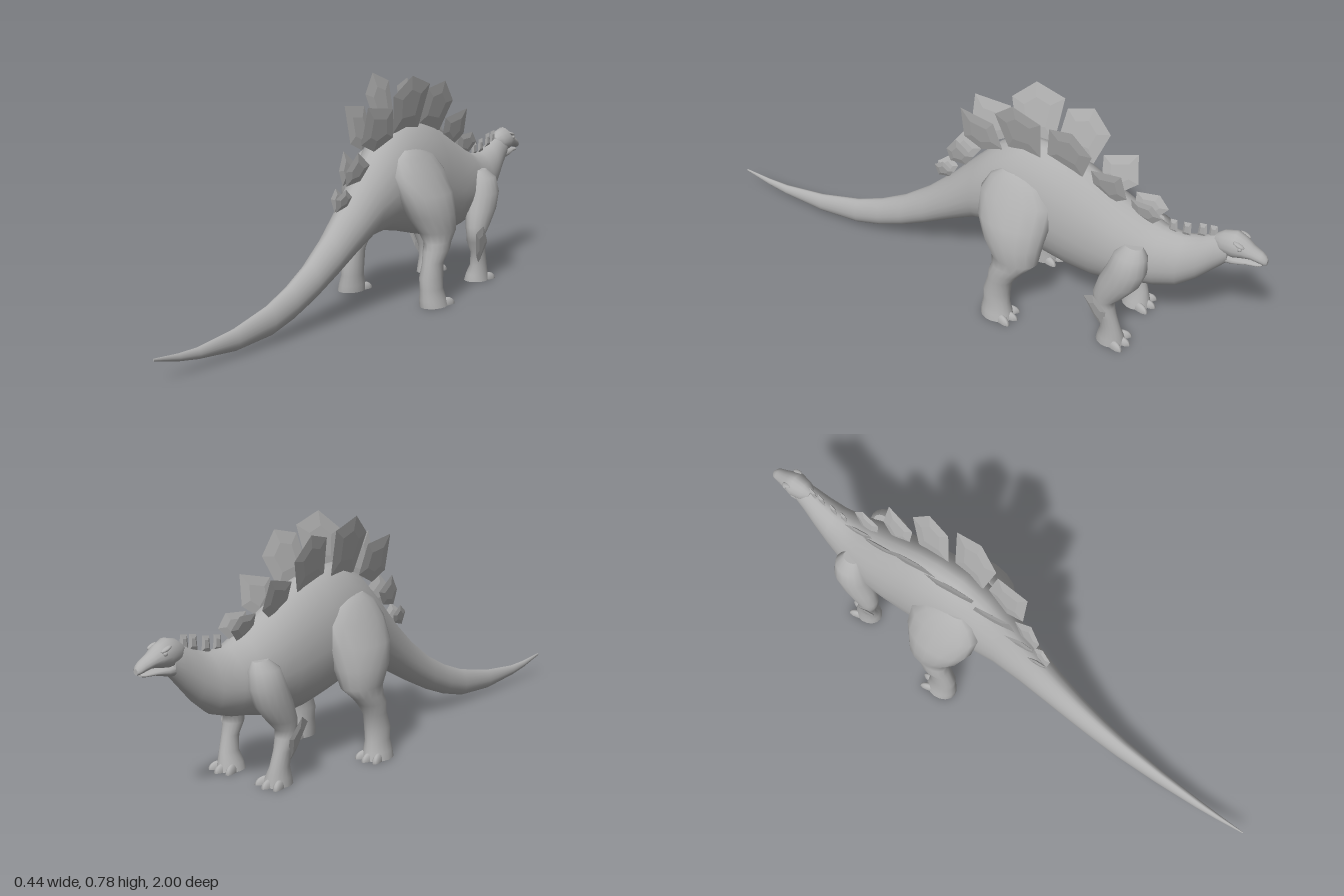
import * as THREE from 'three';

const skin = new THREE.MeshStandardMaterial({ color: 0xb0b0b0 });
skin.name = 'grey skin';

// Skin a list of equal-length point rings, close both ends, and face it outward
function loft(rings) {
  const n = rings[0].length, pos = [], idx = [];
  rings.forEach(r => r.forEach(p => pos.push(...p)));
  for (let i = 0; i < rings.length - 1; i++) {
    for (let j = 0; j < n; j++) {
      const a = i * n + j, b = i * n + (j + 1) % n;
      idx.push(a, b, a + n, b, b + n, a + n);
    }
  }
  // caps have their own vertices so their rims stay sharp
  [[rings[0], 1], [rings[rings.length - 1], -1]].forEach(([r, dir]) => {
    const start = pos.length / 3;
    r.forEach(p => pos.push(...p));
    pos.push(...[0, 1, 2].map(k => r.reduce((s, p) => s + p[k], 0) / n));
    for (let j = 0; j < n; j++) {
      const a = start + j, b = start + (j + 1) % n;
      idx.push(...(dir > 0 ? [b, a, start + n] : [a, b, start + n]));
    }
  });
  // signed volume tells whether the winding must be reversed
  const v = i => new THREE.Vector3().fromArray(pos, i * 3);
  let volume = 0;
  for (let i = 0; i < idx.length; i += 3) volume += v(idx[i]).dot(v(idx[i + 1]).cross(v(idx[i + 2])));
  if (volume < 0) idx.reverse();
  const g = new THREE.BufferGeometry();
  g.setAttribute('position', new THREE.Float32BufferAttribute(pos, 3));
  g.setIndex(idx);
  g.computeVertexNormals();
  return g;
}

// Upright ring across the body: z, top, bottom, half width; slightly ridged on top
function bodyRing([z, top, bottom, w], n = 24) {
  const mid = bottom + (top - bottom) * 0.45;
  return Array.from({ length: n }, (_, j) => {
    const t = j / n * Math.PI * 2, s = Math.sin(t), c = Math.cos(t);
    const x = w * Math.sign(s) * Math.pow(Math.abs(s), c > 0 ? 1.2 : 1);
    return [x, mid + c * (c > 0 ? top - mid : mid - bottom), z];
  });
}

// Level ring around a leg: y, centre x, radius x, centre z, radius z
function legRing([y, cx, rx, cz, rz], side, n = 16) {
  return Array.from({ length: n }, (_, j) => {
    const t = j / n * Math.PI * 2;
    return [side * (cx + rx * Math.cos(t)), y, cz + rz * Math.sin(t)];
  });
}

const BODY = [
  [1.0, 0.078, 0.07, 0.002], [0.9, 0.068, 0.044, 0.009], [0.82, 0.066, 0.03, 0.014],
  [0.66, 0.083, 0.014, 0.022], [0.5, 0.12, 0.023, 0.031], [0.4, 0.16, 0.05, 0.037],
  [0.3, 0.215, 0.09, 0.044], [0.2, 0.29, 0.14, 0.053], [0.1, 0.385, 0.195, 0.065],
  [0.0, 0.495, 0.245, 0.082], [-0.08, 0.575, 0.255, 0.1], [-0.18, 0.625, 0.235, 0.115],
  [-0.28, 0.62, 0.208, 0.12], [-0.36, 0.597, 0.188, 0.118], [-0.45, 0.55, 0.18, 0.115],
  [-0.52, 0.51, 0.192, 0.112], [-0.6, 0.468, 0.212, 0.102], [-0.66, 0.443, 0.222, 0.086],
  [-0.73, 0.438, 0.245, 0.068], [-0.79, 0.458, 0.295, 0.054], [-0.84, 0.485, 0.35, 0.042],
  [-0.88, 0.49, 0.395, 0.034],
];
const HEAD = [
  [-0.83, 0.483, 0.45, 0.018], [-0.855, 0.503, 0.425, 0.034], [-0.895, 0.513, 0.422, 0.042],
  [-0.925, 0.498, 0.43, 0.036], [-0.95, 0.478, 0.434, 0.028], [-0.98, 0.463, 0.427, 0.022],
  [-0.993, 0.453, 0.423, 0.017], [-1.0, 0.442, 0.424, 0.009],
];
const JAW = [
  [-0.86, 0.44, 0.39, 0.028], [-0.9, 0.435, 0.4, 0.033],
  [-0.94, 0.43, 0.411, 0.024], [-0.975, 0.426, 0.413, 0.016], [-0.986, 0.424, 0.416, 0.008],
];
const HIND_LEG = [
  [0.53, 0.075, 0.015, -0.17, 0.045], [0.505, 0.078, 0.045, -0.18, 0.095],
  [0.45, 0.09, 0.063, -0.187, 0.132], [0.38, 0.118, 0.077, -0.19, 0.127],
  [0.31, 0.135, 0.075, -0.198, 0.106], [0.25, 0.152, 0.056, -0.215, 0.082],
  [0.215, 0.164, 0.04, -0.2, 0.062], [0.19, 0.168, 0.042, -0.185, 0.055],
  [0.15, 0.166, 0.034, -0.168, 0.044], [0.1, 0.167, 0.038, -0.157, 0.048],
  [0.06, 0.168, 0.036, -0.157, 0.047], [0.025, 0.172, 0.042, -0.16, 0.055],
  [0, 0.175, 0.045, -0.162, 0.057],
];
const FRONT_LEG = [
  [0.4, 0.085, 0.02, -0.598, 0.03], [0.375, 0.098, 0.045, -0.595, 0.055],
  [0.32, 0.105, 0.055, -0.588, 0.066], [0.26, 0.11, 0.05, -0.566, 0.068],
  [0.205, 0.115, 0.04, -0.537, 0.053], [0.175, 0.116, 0.033, -0.523, 0.037],
  [0.15, 0.116, 0.034, -0.525, 0.034], [0.11, 0.116, 0.027, -0.54, 0.03],
  [0.06, 0.113, 0.028, -0.55, 0.035], [0.025, 0.107, 0.038, -0.55, 0.045],
  [0, 0.105, 0.043, -0.55, 0.05],
];

// Back plates: outline as [z, y], x at the base, outward lean
const PLATES = [
  { x: 0.006, lean: 0.2, pts: [[0.17, 0.4], [0.13, 0.43], [0.095, 0.4], [0.11, 0.37], [0.16, 0.355]] },
  { x: 0.012, lean: 0.17, pts: [[0.12, 0.485], [0.075, 0.545], [0.01, 0.495], [0.045, 0.445], [0.11, 0.435]] },
  { x: 0.025, lean: 0.2, pts: [[0.045, 0.69], [-0.08, 0.675], [-0.105, 0.575], [-0.02, 0.535], [0.047, 0.565]] },
  { x: 0.038, lean: 0.24, pts: [[-0.16, 0.78], [-0.26, 0.745], [-0.245, 0.595], [-0.12, 0.585], [-0.085, 0.715]] },
  { x: 0.035, lean: 0.24, pts: [[-0.28, 0.725], [-0.365, 0.745], [-0.43, 0.67], [-0.39, 0.565], [-0.26, 0.595]] },
  { x: 0.025, lean: 0.26, pts: [[-0.42, 0.605], [-0.53, 0.63], [-0.545, 0.535], [-0.485, 0.49], [-0.425, 0.545]] },
  { x: 0.012, lean: 0.2, pts: [[-0.55, 0.525], [-0.625, 0.53], [-0.66, 0.49], [-0.62, 0.445], [-0.555, 0.46]] },
];

// A thin plate, thicker at its middle than at its rim, turned slightly outward at the front
function plateGeometry({ x, lean, pts }, side) {
  const base = Math.min(...pts.map(p => p[1]));
  const cz = pts.reduce((s, p) => s + p[0], 0) / pts.length;
  const cy = pts.reduce((s, p) => s + p[1], 0) / pts.length;
  const ring = (scale, off) => pts.map(([pz, py]) => {
    const z = cz + (pz - cz) * scale, y = cy + (py - cy) * scale;
    return [side * (x + (y - base) * lean - (z - cz) * 0.12 + off), y, z];
  });
  const g = loft([ring(0.5, -0.005), ring(1, 0), ring(0.5, 0.005)]).toNonIndexed();
  g.computeVertexNormals();
  return g;
}

export function createModel() {
  const model = new THREE.Group();
  model.name = 'platedDinosaur';
  const add = (name, geometry, parent = model) => {
    const m = new THREE.Mesh(geometry, skin);
    m.name = name;
    parent.add(m);
    return m;
  };

  add('bodyAndTail', loft(BODY.map(s => bodyRing(s))));
  add('head', loft(HEAD.map(s => bodyRing(s, 16))));
  add('lowerJaw', loft(JAW.map(s => bodyRing(s, 16))));

  // small spines along the neck
  [[-0.69, 0.485], [-0.735, 0.49], [-0.785, 0.505], [-0.82, 0.51]].forEach(([z, top], i) => {
    const pts = [[z + 0.012, top - 0.005], [z - 0.012, top], [z - 0.016, top - 0.05], [z + 0.016, top - 0.055]];
    add('neckSpine' + (i + 1), plateGeometry({ x: 0, lean: 0, pts }, 1));
  });

  for (const side of [1, -1]) {
    const label = side > 0 ? 'left' : 'right';
    PLATES.forEach((p, i) => add(`${label}BackPlate${i + 1}`, plateGeometry(p, side)));

    // eye under a brow
    const eye = add(label + 'Eye', new THREE.SphereGeometry(0.007, 10, 8));
    eye.position.set(side * 0.034, 0.475, -0.918);
    const brow = add(label + 'Brow', new THREE.SphereGeometry(1, 10, 8));
    brow.scale.set(0.01, 0.006, 0.02);
    brow.position.set(side * 0.03, 0.487, -0.912);
    brow.rotation.x = -0.35;

    // legs with three toes each
    [['HindLeg', HIND_LEG, 0.175, -0.205, 0.028], ['FrontLeg', FRONT_LEG, 0.105, -0.585, 0.03]]
      .forEach(([part, sections, cx, cz, spread]) => {
        const leg = new THREE.Group();
        leg.name = label + part;
        model.add(leg);
        add('limb', loft(sections.map(s => legRing(s, side))), leg);
        for (const k of [-1, 0, 1]) {
          const toe = add('toe', new THREE.SphereGeometry(1, 10, 6, 0, Math.PI * 2, 0, Math.PI / 2), leg);
          toe.scale.set(0.014, 0.026, 0.036);
          toe.position.set(side * (cx + k * spread), 0, cz + Math.abs(k) * 0.01);
          toe.rotation.y = -side * k * 0.35;
        }
      });

    // thin blade behind the elbow
    const blade = [[-0.465, 0.19], [-0.5, 0.215], [-0.545, 0.15], [-0.53, 0.06], [-0.5, 0.1]];
    add(label + 'ElbowBlade', plateGeometry({ x: 0.125, lean: 0.25, pts: blade }, side));
  }
  return model;
}
